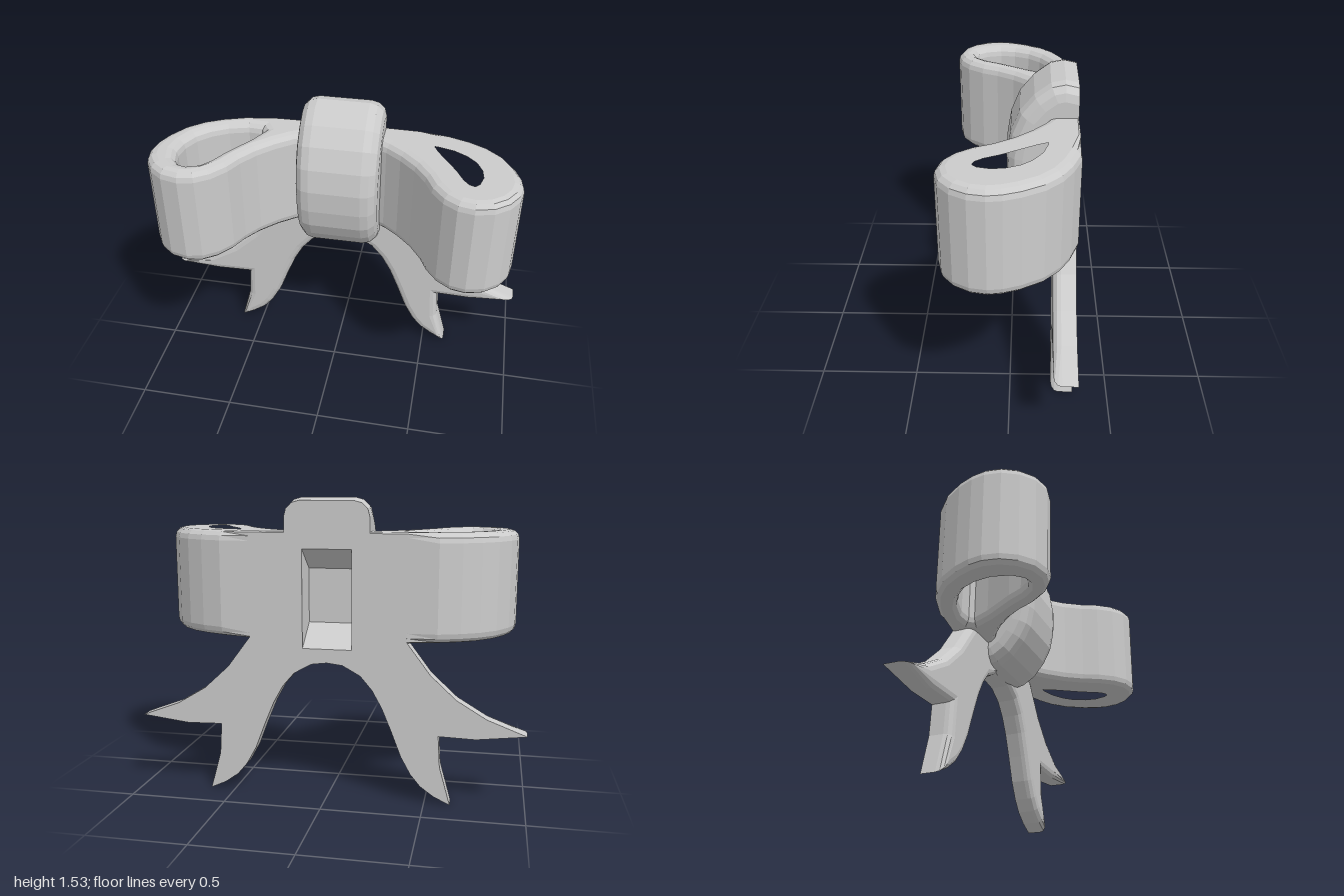
import * as THREE from 'three';

const BACK = -0.325; // flat rear plane shared by all parts
const material = new THREE.MeshStandardMaterial({ color: 0xcccccc, flatShading: true });

const toPoints = (pts, sx = 1, sy = 1) => pts.map(([x, y]) => new THREE.Vector2(x * sx, y * sy));

// Extrude with a rounded edge that stays inside the given outline
function extrude(shape, depth, bevel) {
  return new THREE.ExtrudeGeometry(shape, {
    depth, steps: 1, bevelEnabled: bevel > 0, bevelThickness: bevel,
    bevelSize: bevel, bevelOffset: -bevel, bevelSegments: 3,
  });
}

// Press all vertices outside a range flat onto its limit
function clampAxis(geometry, axis, min, max) {
  const p = geometry.attributes.position;
  for (let i = 0; i < p.count; i++) {
    p.setComponent(i, axis, THREE.MathUtils.clamp(p.getComponent(i, axis), min, max));
  }
  geometry.computeVertexNormals();
  return geometry;
}

function addMesh(group, geometry, name) {
  const mesh = new THREE.Mesh(geometry, material);
  mesh.name = name;
  group.add(mesh);
}

// Loop outline and opening seen from above, as [x, z]
const loopOuter = [
  [0.15, -0.37], [0.4, -0.365], [0.55, -0.325], [0.66, -0.285], [0.75, -0.235], [0.83, -0.16],
  [0.89, -0.06], [0.92, 0.02], [0.93, 0.09], [0.915, 0.17], [0.87, 0.245], [0.8, 0.3],
  [0.71, 0.322], [0.63, 0.305], [0.56, 0.255], [0.5, 0.175], [0.46, 0.09], [0.4, 0.0],
  [0.32, -0.085], [0.24, -0.15], [0.15, -0.2],
];
const loopHole = [
  [0.415, -0.195], [0.43, -0.22], [0.5, -0.225], [0.6, -0.195], [0.68, -0.145], [0.74, -0.08],
  [0.775, 0.0], [0.785, 0.08], [0.765, 0.16], [0.73, 0.2], [0.69, 0.21], [0.64, 0.19],
  [0.6, 0.14], [0.56, 0.06], [0.51, -0.02], [0.46, -0.1],
];

// Tail outline seen from the front, as [x, y]
const tailOutline = [
  [0, 0.71], [0.08, 0.7], [0.17, 0.65], [0.23, 0.58], [0.28, 0.49], [0.33, 0.37], [0.38, 0.24],
  [0.43, 0.15], [0.48, 0.09], [0.55, 0.04], [0.63, 0.003], [0.575, 0.2], [0.565, 0.36],
  [0.75, 0.355], [0.998, 0.385], [0.8, 0.46], [0.65, 0.55], [0.52, 0.67], [0.4, 0.83],
  [0.3, 0.95], [0.14, 0.95], [0.14, 0.77], [0, 0.77],
];

// Knot arc seen from the side, top to bottom, as [z, y]
const knotArc = [
  [-0.325, 1.515], [-0.26, 1.53], [-0.19, 1.515], [-0.11, 1.455], [-0.04, 1.37], [0.005, 1.26],
  [0.025, 1.14], [0.02, 1.02], [0, 0.92], [-0.04, 0.84], [-0.1, 0.765], [-0.17, 0.72],
  [-0.24, 0.708], [-0.325, 0.71],
];
// Recess in the back of the knot, bottom to top
const recess = [[BACK, 0.78], [-0.17, 0.89], [-0.17, 1.17], [BACK, 1.28]];
const RECESS_X = 0.125;

function createKnot() {
  const knot = new THREE.Group();
  knot.name = 'knot';

  // Middle slice holds the recess
  const middle = extrude(new THREE.Shape(toPoints([...knotArc, ...recess], -1)), RECESS_X * 2, 0);
  middle.translate(0, 0, -RECESS_X).rotateY(Math.PI / 2);
  addMesh(knot, middle, 'knotMiddle');

  // Side slices round off outwards and close the recess
  const full = [[-0.45, 1.515], ...knotArc, [-0.45, 0.71]];
  for (const s of [1, -1]) {
    const side = extrude(new THREE.Shape(toPoints(full, -1)), 0.01, 0.08);
    side.translate(0, 0, s > 0 ? RECESS_X : -RECESS_X - 0.01).rotateY(Math.PI / 2);
    clampAxis(side, 0, s > 0 ? RECESS_X : -1, s > 0 ? 1 : -RECESS_X);
    clampAxis(side, 2, BACK, 1);
    addMesh(knot, side, s > 0 ? 'knotLeftSide' : 'knotRightSide');
  }
  return knot;
}

function createLoop(s) {
  const shape = new THREE.Shape(toPoints(loopOuter, s, -1));
  shape.holes.push(new THREE.Path(toPoints(loopHole, s, -1)));
  const bevel = 0.05;
  const geometry = extrude(shape, 0.54 - bevel * 2, bevel);
  geometry.rotateX(-Math.PI / 2).translate(0, 0.825 + bevel, 0);
  return clampAxis(geometry, 2, BACK, 1);
}

function createTail(s) {
  const bevel = 0.04;
  const geometry = extrude(new THREE.Shape(toPoints(tailOutline, s)), 0.115 - bevel, bevel);
  geometry.translate(0, 0, BACK);
  return clampAxis(geometry, 2, BACK, 1);
}

export function createModel() {
  const bow = new THREE.Group();
  bow.name = 'ribbonBow';
  bow.add(createKnot());
  for (const s of [1, -1]) {
    const side = s > 0 ? 'left' : 'right';
    addMesh(bow, createLoop(s), side + 'Loop');
    addMesh(bow, createTail(s), side + 'Tail');
  }
  return bow;
}
